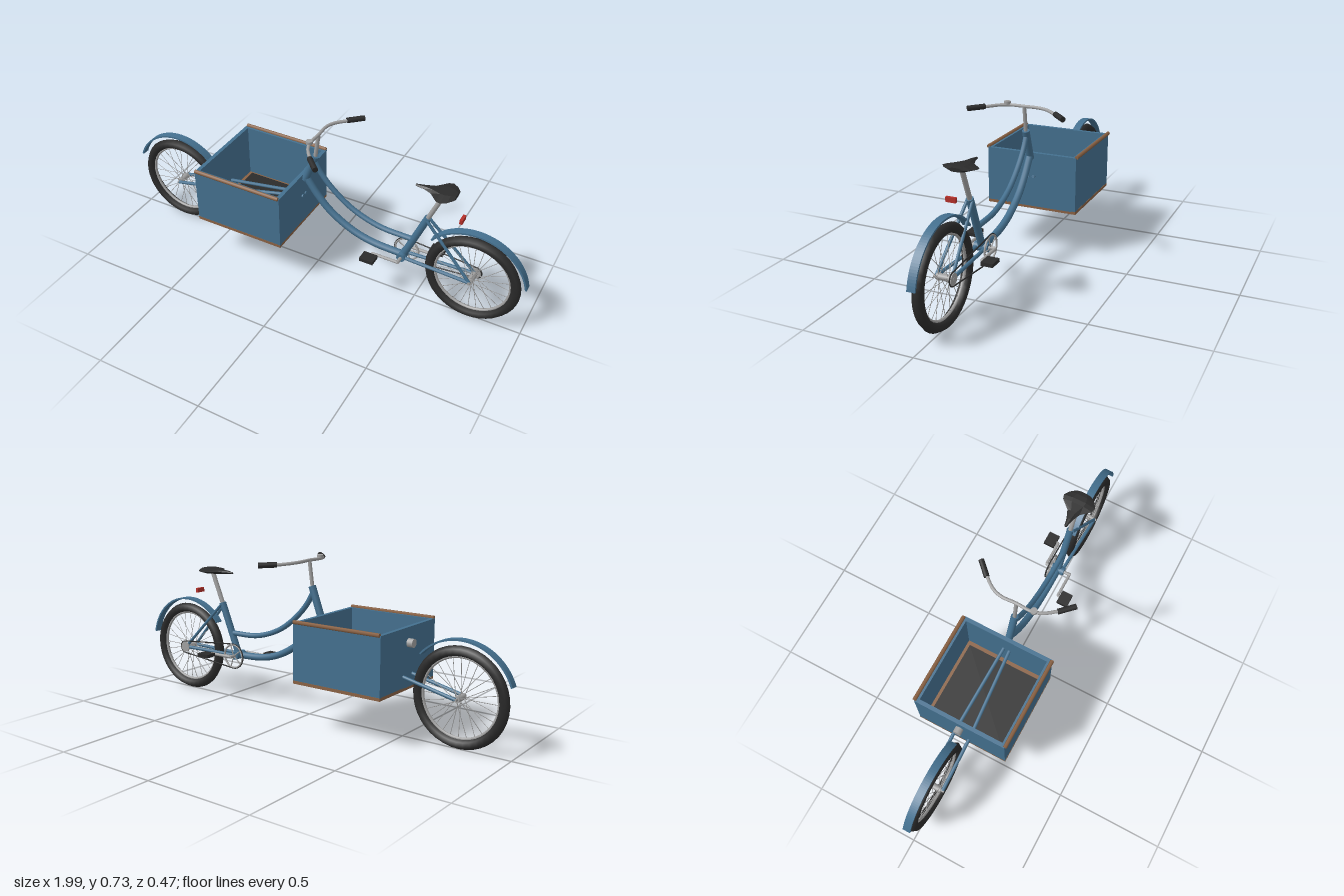
import * as THREE from 'three';

const paint = (name, color) => {
  const m = new THREE.MeshStandardMaterial({ color });
  m.name = name;
  return m;
};
const V = (x, y, z = 0) => new THREE.Vector3(x, y, z);

export function createModel() {
  const blue = paint('frame blue', 0x44708f);
  const black = paint('rubber black', 0x2b2b2b);
  const steel = paint('steel grey', 0xa0a0a0);
  const wood = paint('wood brown', 0x8a6244);
  const red = paint('reflector red', 0xb5302a);

  const root = new THREE.Group();
  root.name = 'cargoBicycle';

  const add = (name, geometry, material, pos = [0, 0, 0], parent = root) => {
    const mesh = new THREE.Mesh(geometry, material);
    mesh.name = name;
    mesh.position.set(...pos);
    parent.add(mesh);
    return mesh;
  };
  const box = (name, size, pos, material) => add(name, new THREE.BoxGeometry(...size), material, pos);
  // Straight rod between two points
  const rod = (name, a, b, r, material, parent = root, sides = 10) => {
    const mesh = add(name, new THREE.CylinderGeometry(r, r, a.distanceTo(b), sides), material, [0, 0, 0], parent);
    mesh.position.copy(a).lerp(b, 0.5);
    mesh.quaternion.setFromUnitVectors(V(0, 1), b.clone().sub(a).normalize());
    return mesh;
  };
  // Bent tube through points
  const tube = (name, points, r, material, segments = 32) =>
    add(name, new THREE.TubeGeometry(new THREE.CatmullRomCurve3(points), segments, r, 10), material);

  const axleY = 0.221;
  const frontX = -0.765;
  const rearX = 0.754;

  // Wheels: tyre, rim, hub and spokes
  const wheel = (name, x) => {
    const g = new THREE.Group();
    g.name = name;
    g.position.set(x, axleY, 0);
    root.add(g);
    add('tyre', new THREE.TorusGeometry(0.195, 0.0235, 6, 40), black, [0, 0, 0], g);
    add('rim', new THREE.TorusGeometry(0.173, 0.007, 8, 40), steel, [0, 0, 0], g);
    rod('hub', V(0, 0, -0.03), V(0, 0, 0.03), 0.014, steel, g, 14);
    rod('axle', V(0, 0, -0.045), V(0, 0, 0.045), 0.007, steel, g);
    for (let i = 0; i < 28; i++) {
      const a = (i / 28) * Math.PI * 2;
      const b = a + (i % 4 < 2 ? 0.5 : -0.5);
      rod('spoke', V(0.013 * Math.cos(b), 0.013 * Math.sin(b), i % 2 ? 0.022 : -0.022),
        V(0.17 * Math.cos(a), 0.17 * Math.sin(a)), 0.0014, steel, g, 4);
    }
  };
  wheel('frontWheel', frontX);
  wheel('rearWheel', rearX);

  // Mudguards
  const mudguard = (name, x, from, to) => {
    const s = new THREE.Shape();
    s.absarc(0, 0, 0.247, from, to, false);
    s.absarc(0, 0, 0.239, to, from, true);
    const geo = new THREE.ExtrudeGeometry(s, { depth: 0.036, bevelEnabled: false, curveSegments: 24 });
    geo.translate(0, 0, -0.018);
    add(name, geo, blue, [x, axleY, 0]);
  };
  mudguard('frontMudguard', frontX, 0.72, 2.79);
  mudguard('rearMudguard', rearX, 0.19, 2.5);

  // Cargo box: floor, mat, walls and wooden rails
  const cx = -0.298;
  box('boxFloor', [0.442, 0.014, 0.44], [cx, 0.22, 0], wood);
  box('boxMat', [0.365, 0.008, 0.37], [cx, 0.231, 0], black);
  for (const s of [-1, 1]) {
    box('boxSideWall', [0.442, 0.26, 0.018], [cx, 0.354, s * 0.21], blue);
    box('boxEndWall', [0.018, 0.26, 0.404], [cx + s * 0.212, 0.354, 0], blue);
    rod('boxRail', V(-0.515, 0.486, s * 0.22), V(-0.081, 0.486, s * 0.22), 0.009, wood, root, 6);
  }
  rod('headlamp', V(-0.546, 0.417), V(-0.517, 0.417), 0.019, steel, root, 16);

  // Frame tubes
  const crank = V(0.43, axleY);
  rod('headTube', V(-0.068, 0.46), V(-0.015, 0.605), 0.017, blue, root, 14);
  tube('lowerTube', [V(-0.063, 0.475), V(0, 0.39), V(0.065, 0.325), V(0.17, 0.262), V(0.275, 0.231), crank], 0.0165, blue);
  tube('upperTube', [V(-0.025, 0.585), V(0.01, 0.525), V(0.065, 0.462), V(0.17, 0.382), V(0.305, 0.333), V(0.468, 0.324)], 0.0125, blue);
  rod('seatTube', crank, V(0.53, 0.468), 0.0165, blue, root, 14);
  rod('seatPost', V(0.525, 0.455), V(0.591, 0.613), 0.011, steel);
  rod('bottomBracket', V(0.43, axleY, -0.032), V(0.43, axleY, 0.032), 0.02, blue, root, 14);
  for (const s of [-1, 1]) {
    rod('chainStay', V(0.43, axleY, s * 0.02), V(rearX, axleY, s * 0.035), 0.008, blue);
    rod('seatStay', V(0.528, 0.46, s * 0.012), V(rearX, axleY, s * 0.035), 0.007, blue);
    rod('forkBlade', V(frontX, axleY, s * 0.038), V(-0.52, 0.275, s * 0.037), 0.008, blue);
    rod('forkArm', V(-0.52, 0.275, s * 0.037), V(-0.07, 0.372, s * 0.013), 0.008, blue);
  }

  // Handlebar, grips and bell
  rod('stem', V(-0.017, 0.598), V(0, 0.72), 0.009, steel);
  const bar = [[0.105, 0.712, -0.22], [0.05, 0.713, -0.165], [0.012, 0.717, -0.115], [-0.002, 0.719, -0.07], [0, 0.72, 0]];
  const mirrored = bar.slice(0, 4).reverse().map(([x, y, z]) => [x, y, -z]);
  tube('handlebar', [...bar, ...mirrored].map(p => V(...p)), 0.0075, steel, 48);
  for (const s of [-1, 1]) rod('grip', V(0.05, 0.714, s * 0.168), V(0.108, 0.712, s * 0.226), 0.0125, black);
  rod('bell', V(0, 0.722, 0.082), V(0, 0.736, 0.082), 0.015, steel, root, 16);

  // Saddle: [x, half width, top y, edge y, bottom y] sections
  const sections = [
    [0.462, 0.006, 0.622, 0.618, 0.614], [0.5, 0.014, 0.627, 0.62, 0.612],
    [0.54, 0.03, 0.629, 0.62, 0.609], [0.58, 0.072, 0.632, 0.621, 0.608],
    [0.6, 0.078, 0.634, 0.622, 0.608], [0.625, 0.062, 0.634, 0.623, 0.61], [0.645, 0.036, 0.631, 0.624, 0.615]];
  const pos = [];
  const idx = [];
  sections.forEach(([x, w, t, e, b], i) => {
    const ring = [[t, -w * 0.4], [t, w * 0.4], [e, w], [b, w * 0.4], [b, -w * 0.4], [e, -w]];
    ring.forEach(([y, z], j) => {
      pos.push(x, y, z);
      if (i === sections.length - 1) return;
      const a = i * 6 + j, c = i * 6 + (j + 1) % 6;
      idx.push(a, c, a + 6, c, c + 6, a + 6);
    });
  });
  const last = (sections.length - 1) * 6;
  for (let j = 1; j < 5; j++) idx.push(0, j + 1, j, last, last + j, last + j + 1);
  const saddle = new THREE.BufferGeometry();
  saddle.setAttribute('position', new THREE.Float32BufferAttribute(pos, 3));
  saddle.setIndex(idx);
  const flatSaddle = saddle.toNonIndexed();
  flatSaddle.computeVertexNormals();
  add('saddle', flatSaddle, black);

  // Rear reflector
  box('reflector', [0.013, 0.021, 0.044], [0.68, 0.515, 0], red);

  // Cranks and pedals
  rod('crankAxle', V(0.43, axleY, -0.066), V(0.43, axleY, 0.066), 0.008, steel);
  for (const s of [-1, 1]) {
    const px = 0.43 - s * 0.125;
    rod('crankArm', V(0.43, axleY, s * 0.062), V(px, axleY, s * 0.062), 0.007, steel);
    rod('pedalAxle', V(px, axleY, s * 0.06), V(px, axleY, s * 0.1), 0.005, steel);
    box('pedal', [0.066, 0.016, 0.054], [px, axleY, s * 0.099], black);
  }

  // Chainring, sprocket and chain
  const chainZ = -0.04;
  add('chainring', new THREE.TorusGeometry(0.056, 0.0045, 8, 32), steel, [0.43, axleY, chainZ]);
  for (let i = 0; i < 5; i++) {
    const a = (i / 5) * Math.PI * 2;
    rod('chainringArm', V(0.43, axleY, chainZ), V(0.43 + 0.056 * Math.cos(a), axleY + 0.056 * Math.sin(a), chainZ), 0.003, steel, root, 6);
  }
  rod('sprocket', V(rearX, axleY, -0.044), V(rearX, axleY, -0.036), 0.026, steel, root, 20);
  const loop = new THREE.CurvePath();
  const arc = (x, r, from) => {
    const pts = [];
    for (let i = 0; i <= 12; i++) {
      const a = from + (i / 12) * Math.PI;
      pts.push(V(x + r * Math.cos(a), axleY + r * Math.sin(a), chainZ));
    }
    return pts;
  };
  const chain = [...arc(0.43, 0.06, Math.PI / 2), ...arc(rearX, 0.03, -Math.PI / 2)];
  chain.forEach((p, i) => loop.add(new THREE.LineCurve3(p, chain[(i + 1) % chain.length])));
  add('chain', new THREE.TubeGeometry(loop, 120, 0.003, 6, true), black);

  return root;
}
